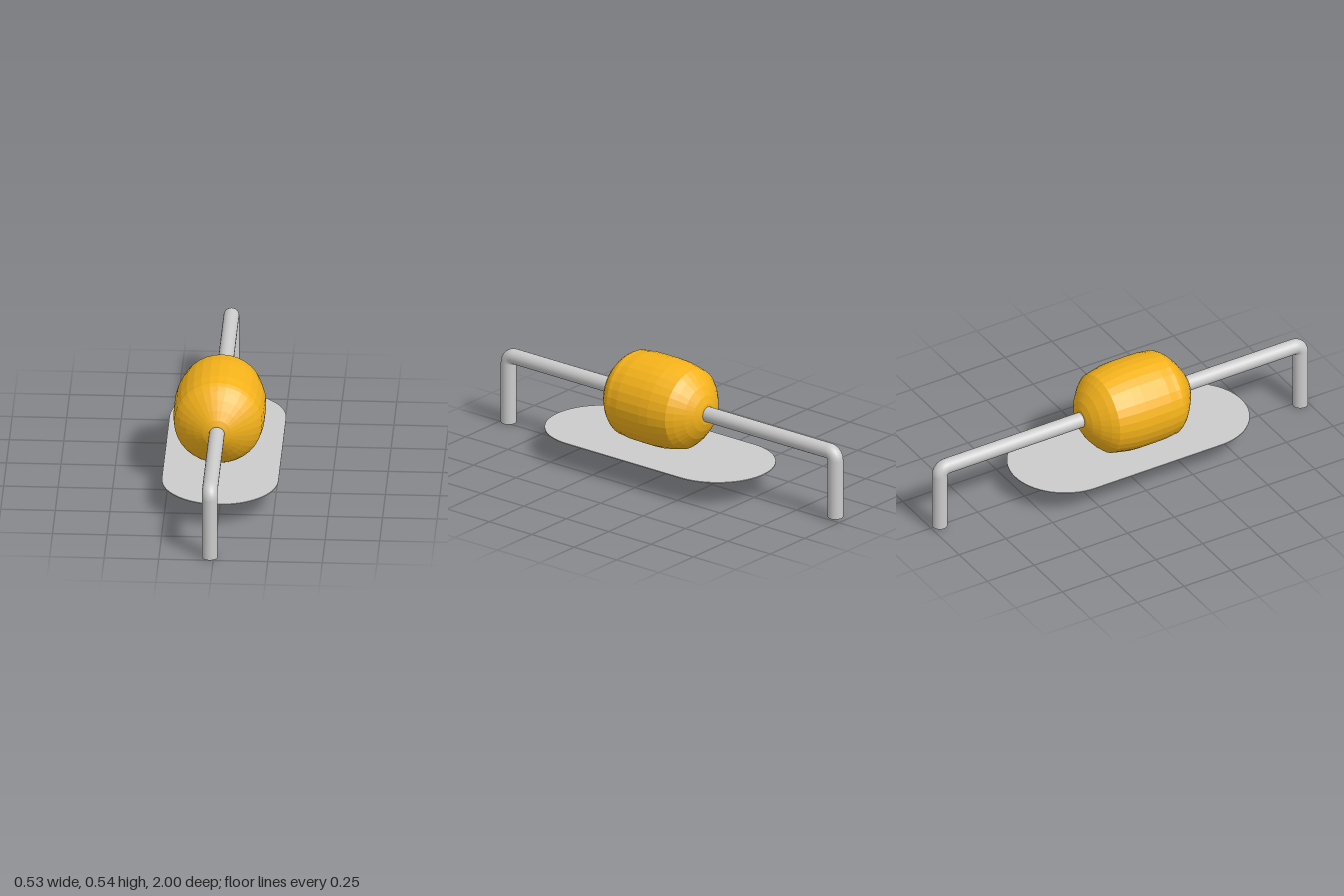
import * as THREE from 'three';

const CX = -0.018, AXIS_Y = 0.331, R = 0.036, BEND = 0.037, LEG_Z = 0.964;

export function createModel() {
  const model = new THREE.Group();
  const grey = new THREE.MeshStandardMaterial({ color: 0xcccccc });
  const amber = new THREE.MeshStandardMaterial({ color: 0xf5b31b, flatShading: true });

  const add = (name, geometry, material, x, y, z) => {
    const mesh = new THREE.Mesh(geometry, material);
    mesh.name = name;
    mesh.position.set(x, y, z);
    model.add(mesh);
    return mesh;
  };

  // Horizontal bar running front to back
  const barEnd = LEG_Z - BEND;
  add('bar', new THREE.CylinderGeometry(R, R, 2 * barEnd, 24).rotateX(Math.PI / 2),
    grey, CX, AXIS_Y, 0);

  // Bent corner and leg at each end; the back leg is slightly shorter
  for (const [side, s, foot] of [['front', 1, 0], ['back', -1, 0.015]]) {
    const bend = new THREE.TorusGeometry(BEND, R, 24, 10, Math.PI / 2).rotateY(-s * Math.PI / 2);
    add(side + 'Bend', bend, grey, CX, AXIS_Y - BEND, s * barEnd);
    const top = AXIS_Y - BEND;
    add(side + 'Leg', new THREE.CylinderGeometry(R, R, top - foot, 24),
      grey, CX, (top + foot) / 2, s * LEG_Z);
  }

  // Barrel-shaped float turned about the bar: [radius, z] from back to front
  const profile = [
    [0.001, -0.213], [0.05, -0.209], [0.085, -0.197], [0.125, -0.174], [0.165, -0.14],
    [0.189, -0.112], [0.199, -0.065], [0.207, -0.02], [0.21, 0.03], [0.21, 0.1],
    [0.209, 0.16], [0.203, 0.2], [0.202, 0.222], [0.193, 0.24], [0.175, 0.262],
    [0.145, 0.288], [0.105, 0.316], [0.065, 0.339], [0.04, 0.348], [0.001, 0.349],
  ].map(([r, z]) => new THREE.Vector2(r, z));
  add('float', new THREE.LatheGeometry(profile, 32).rotateX(Math.PI / 2),
    amber, CX, AXIS_Y, 0);

  // Thin base plate with fully rounded ends
  const w = 0.267, zBack = -0.55 + w, zFront = 0.66 - w;
  const outline = new THREE.Shape();
  outline.absarc(0, -zBack, w, 0, Math.PI, false);
  outline.absarc(0, -zFront, w, Math.PI, 2 * Math.PI, false);
  outline.closePath();
  const plate = new THREE.ExtrudeGeometry(outline, { depth: 0.005, bevelEnabled: false, curveSegments: 16 });
  add('plate', plate.rotateX(-Math.PI / 2), grey, 0, 0.12, 0);

  return model;
}
